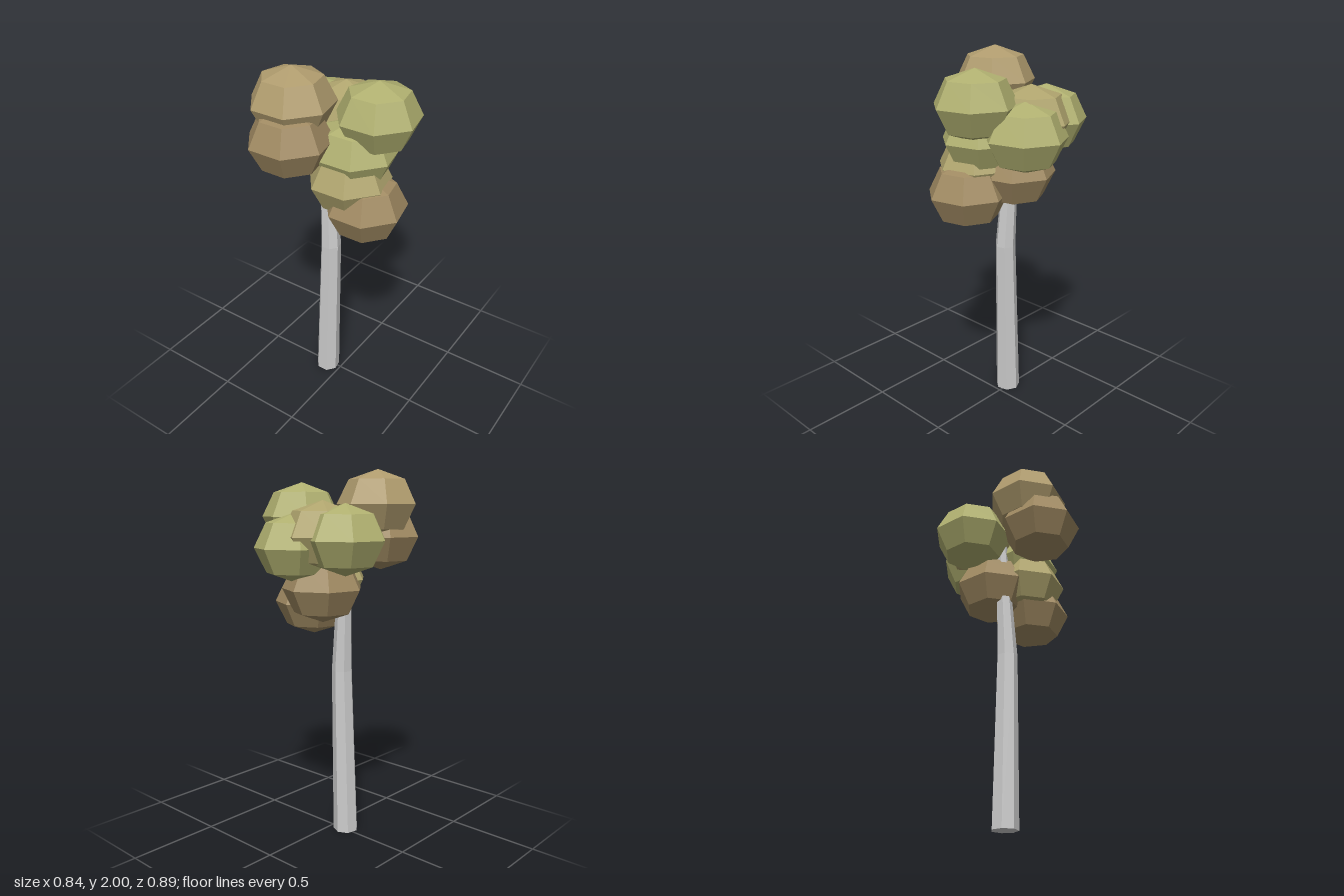
import * as THREE from 'three';

const SIDES = 7;

function material(color) {
  return new THREE.MeshStandardMaterial({ color, flatShading: true });
}

// Bent, tapering trunk: a unit cylinder whose three rings are moved to [x, y, z, radius]
function makeTrunk() {
  const rings = [
    [-0.085, 0, 0.013, 0.07],
    [-0.057, 0.93, 0.01, 0.057],
    [-0.1, 1.74, -0.012, 0.027],
  ];
  const geo = new THREE.CylinderGeometry(1, 1, 2, SIDES, 2, false, Math.PI);
  const pos = geo.attributes.position;
  for (let i = 0; i < pos.count; i++) {
    const [x, y, z, r] = rings[Math.round(pos.getY(i)) + 1];
    pos.setXYZ(i, x + pos.getX(i) * r, y, z + pos.getZ(i) * r);
  }
  geo.computeVertexNormals();
  const trunk = new THREE.Mesh(geo, material(0xcccccc));
  trunk.name = 'trunk';
  return trunk;
}

// Foliage clumps: x, y, z, colour
const GREEN = 0xb0b070, OLIVE = 0xb0a56e, TAN = 0xb09c6e, BROWN = 0xa08a62;
const CLUMPS = [
  [-0.154, 1.82, 0.18, TAN],
  [-0.127, 1.65, 0.247, BROWN],
  [0.205, 1.755, -0.027, GREEN],
  [-0.207, 1.645, -0.138, GREEN],
  [0.055, 1.6, -0.227, GREEN],
  [-0.068, 1.66, -0.155, OLIVE],
  [0.108, 1.56, 0.02, GREEN],
  [0.098, 1.42, 0.06, OLIVE],
  [0.19, 1.285, 0.047, BROWN],
  [-0.012, 1.385, -0.095, BROWN],
];

function makeFoliage() {
  const foliage = new THREE.Group();
  foliage.name = 'foliage';
  // Squashed seven-sided ball with one corner pointing to the back
  const geo = new THREE.SphereGeometry(1, SIDES, 4);
  geo.rotateY(-Math.PI / 2);
  geo.scale(0.219, 0.181, 0.219);
  CLUMPS.forEach(([x, y, z, color], i) => {
    const clump = new THREE.Mesh(geo, material(color));
    clump.name = `leafClump${i + 1}`;
    clump.position.set(x, y, z);
    foliage.add(clump);
  });
  return foliage;
}

export function createModel() {
  const tree = new THREE.Group();
  tree.name = 'tree';
  tree.add(makeTrunk(), makeFoliage());
  return tree;
}
